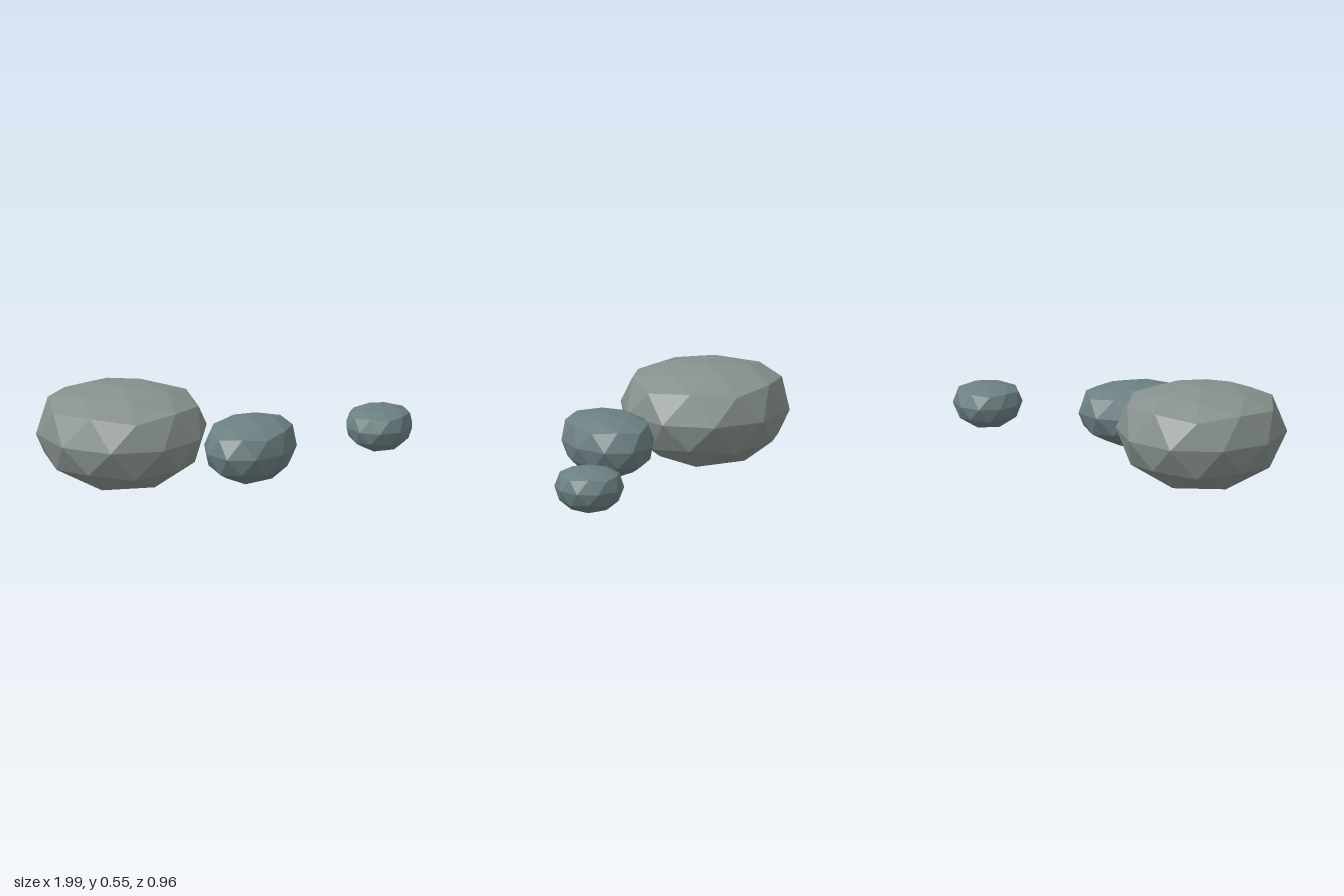
import * as THREE from 'three';

const deg = THREE.MathUtils.degToRad;

// Faceted boulder: icosphere standing on a vertex, its crown pressed flat.
// radii = half sizes, yaw turns the finished boulder (x towards z).
function boulder(name, color, [x, y, z], [rx, ry, rz], yaw) {
  const geo = new THREE.IcosahedronGeometry(1, 1);
  geo.rotateX(-Math.atan((1 + Math.sqrt(5)) / 2)); // vertex to the pole
  geo.rotateY(Math.PI / 2);                        // upper ring vertex to +x

  // press down the crown
  const pos = geo.attributes.position;
  for (let i = 0; i < pos.count; i++) {
    const h = pos.getY(i);
    if (h > 0.5) pos.setY(i, 0.5 + (h - 0.5) * 0.44);
  }
  geo.scale(rx, ry, rz);
  geo.rotateY(-deg(yaw));
  geo.computeVertexNormals();

  const mesh = new THREE.Mesh(geo, new THREE.MeshStandardMaterial({ color, flatShading: true }));
  mesh.name = name;
  mesh.position.set(x, y, z);
  return mesh;
}

export function createModel() {
  const group = new THREE.Group();
  group.name = 'boulders';
  group.add(
    boulder('largeBoulder', 0x87918e, [-0.55, 0.32, 0.028], [0.46, 0.32, 0.452], 8),
    boulder('mediumBoulder', 0x6c8082, [0.131, 0.263, 0.137], [0.238, 0.2, 0.305], 205),
    boulder('smallBoulder', 0x6c8082, [0.818, 0.235, -0.297], [0.182, 0.142, 0.187], 0),
  );
  return group;
}
